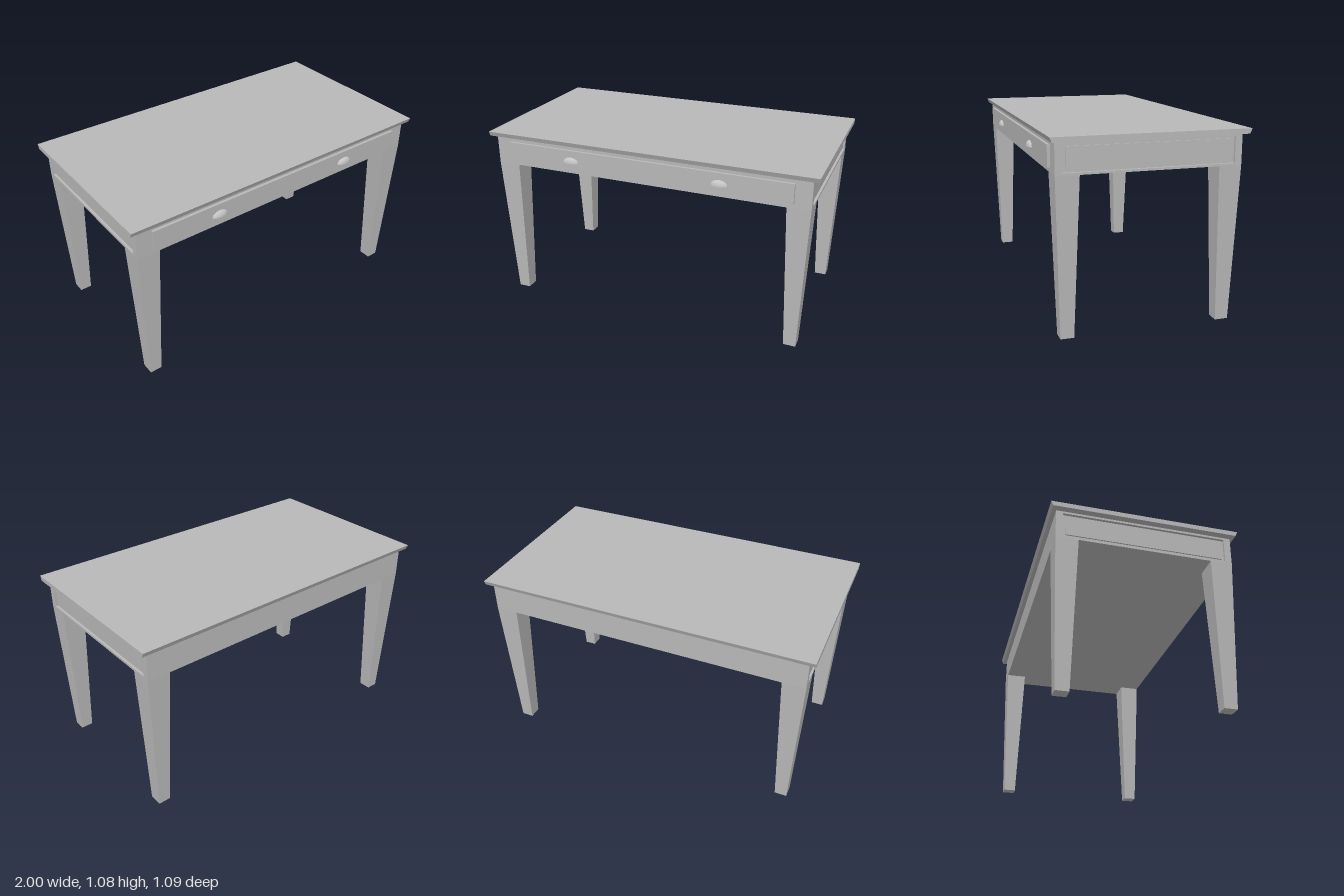
import * as THREE from 'three';

const grey = new THREE.MeshStandardMaterial({ color: 0xb8b8b8 });
grey.name = 'grey paint';
const pullGrey = new THREE.MeshStandardMaterial({ color: 0xc4c4c4, side: THREE.DoubleSide });
pullGrey.name = 'pull grey';

function add(parent, name, geometry, material = grey) {
  const mesh = new THREE.Mesh(geometry, material);
  mesh.name = name;
  parent.add(mesh);
  return mesh;
}

function box(parent, name, x0, x1, y0, y1, z0, z1) {
  const mesh = add(parent, name, new THREE.BoxGeometry(x1 - x0, y1 - y0, z1 - z0));
  mesh.position.set((x0 + x1) / 2, (y0 + y1) / 2, (z0 + z1) / 2);
  return mesh;
}

function rectangle(PathType, w, h) {
  return new PathType([[-w, -h], [w, -h], [w, h], [-w, h]].map(([x, y]) => new THREE.Vector2(x, y)));
}

export function createModel() {
  const desk = new THREE.Group();
  desk.name = 'desk';
  const topY = 1.08, bodyTop = 1.052, bodyBottom = 0.88;
  const bodyX = 0.962, bodyZ = 0.509, recess = 0.015;

  // Table top: its front and back edges slant inward towards the bottom
  const top = add(desk, 'tableTop', new THREE.BoxGeometry(2, topY - bodyTop, 1.086));
  const tp = top.geometry.attributes.position;
  for (let i = 0; i < tp.count; i++) {
    if (tp.getY(i) < 0) tp.setZ(i, Math.sign(tp.getZ(i)) * 0.531);
  }
  top.geometry.computeVertexNormals();
  top.position.set(0, (topY + bodyTop) / 2, -0.0015);

  // Apron body, closed below
  box(desk, 'apron', -bodyX + recess, bodyX - recess, bodyBottom, bodyTop, -bodyZ, bodyZ);

  // Side frames with a raised field inside the recess
  const midY = (bodyTop + bodyBottom) / 2;
  for (const side of [-1, 1]) {
    const label = side > 0 ? 'left' : 'right';
    const shape = rectangle(THREE.Shape, bodyZ, (bodyTop - bodyBottom) / 2);
    shape.holes.push(rectangle(THREE.Path, 0.47, 0.073));
    const frame = add(desk, label + 'SideFrame',
      new THREE.ExtrudeGeometry(shape, { depth: recess, bevelEnabled: false }));
    frame.rotation.y = side * Math.PI / 2;
    frame.position.set(side * (bodyX - recess), midY, 0);
    const x = side * (bodyX - recess + 0.003);
    box(desk, label + 'SidePanel', x - 0.004, x + 0.004, 0.909, 1.025, -0.451, 0.451);
  }

  // Tapered legs
  for (const sx of [-1, 1]) for (const sz of [-1, 1]) {
    const name = (sz > 0 ? 'front' : 'back') + (sx > 0 ? 'Left' : 'Right') + 'Leg';
    const leg = add(desk, name, new THREE.BoxGeometry(0.134, bodyBottom, 0.128));
    const p = leg.geometry.attributes.position;
    for (let i = 0; i < p.count; i++) {
      if (p.getY(i) < 0) p.setXYZ(i, Math.sign(p.getX(i)) * 0.036, p.getY(i), Math.sign(p.getZ(i)) * 0.0375);
    }
    leg.geometry.computeVertexNormals();
    leg.position.set(sx * (bodyX - 0.067), bodyBottom / 2, sz * (bodyZ - 0.064));
  }

  // Drawer front
  box(desk, 'drawerFront', -0.868, 0.868, 0.908, 1.025, bodyZ, 0.525);

  // Cup pulls: quarter domes open below
  for (const side of [-1, 1]) {
    const pull = add(desk, side > 0 ? 'leftPull' : 'rightPull',
      new THREE.SphereGeometry(1, 24, 10, 0, Math.PI, 0, Math.PI / 2), pullGrey);
    pull.scale.set(0.05, 0.033, 0.022);
    pull.position.set(side * 0.455, 0.952, 0.525);
  }
  return desk;
}
